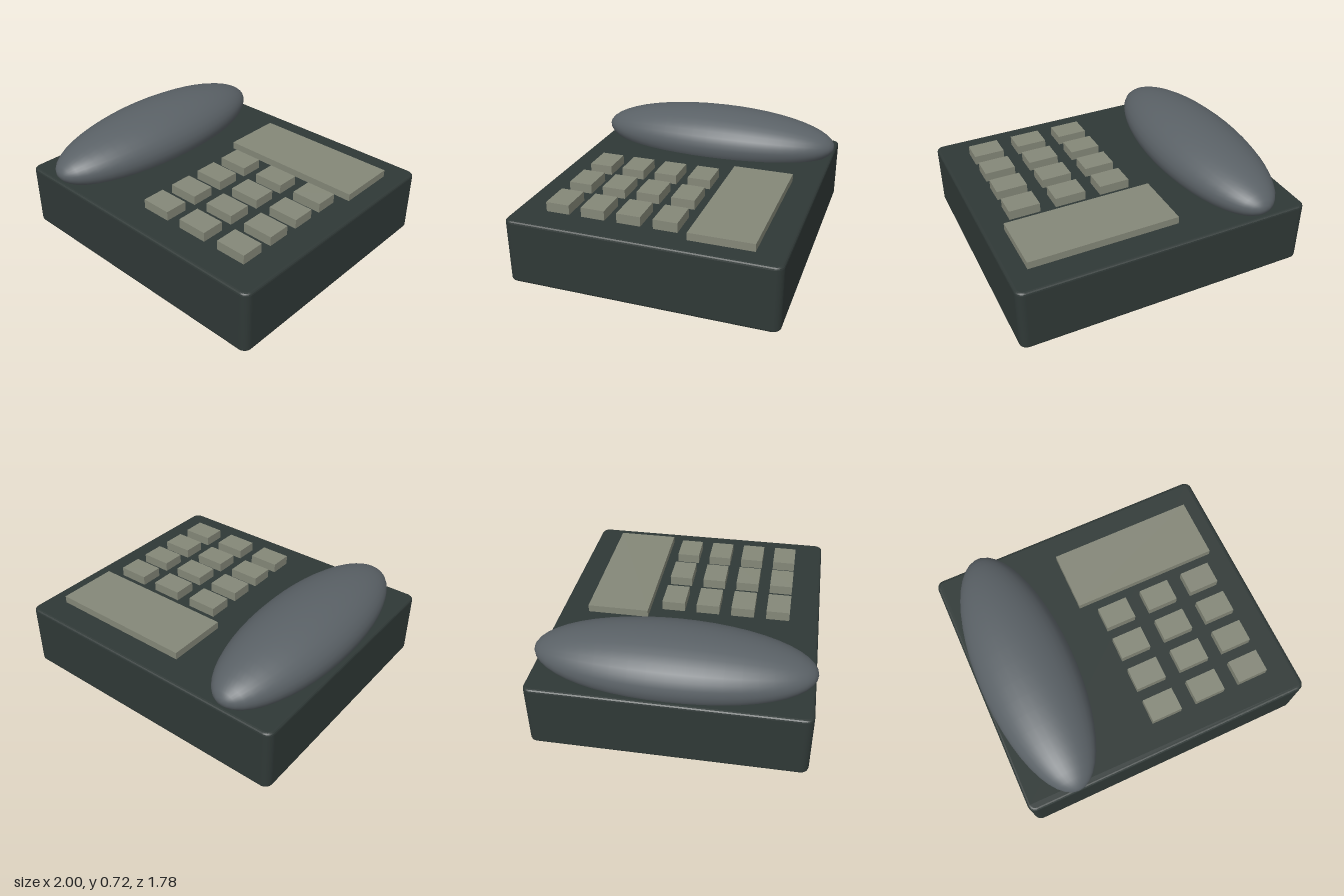
import * as THREE from 'three';

const material = (name, color) => {
  const m = new THREE.MeshStandardMaterial({ color });
  m.name = name;
  return m;
};

// Rounded rectangle centred on the origin
function roundedRect(w, d, r) {
  const s = new THREE.Shape();
  const x = w / 2, y = d / 2;
  s.absarc(x - r, y - r, r, 0, Math.PI / 2);
  s.absarc(-x + r, y - r, r, Math.PI / 2, Math.PI);
  s.absarc(-x + r, -y + r, r, Math.PI, Math.PI * 1.5);
  s.absarc(x - r, -y + r, r, Math.PI * 1.5, Math.PI * 2);
  s.closePath();
  return s;
}

export function createModel() {
  const group = new THREE.Group();
  group.name = 'deskTelephone';
  const dark = material('dark body', 0x2f3836);
  const grey = material('handset grey', 0x5a6166);
  const pale = material('key grey', 0x848778);

  const add = (name, geometry, mat, x, y, z) => {
    const mesh = new THREE.Mesh(geometry, mat);
    mesh.name = name;
    mesh.position.set(x, y, z);
    group.add(mesh);
    return mesh;
  };

  // Base: rounded slab with softened top and bottom edges
  const top = 0.435, bevel = 0.018;
  const baseGeometry = new THREE.ExtrudeGeometry(
    roundedRect(2 - 2 * bevel, 1.76 - 2 * bevel, 0.035),
    { depth: top - 2 * bevel, bevelThickness: bevel, bevelSize: bevel, bevelSegments: 3, curveSegments: 5 }
  );
  baseGeometry.rotateX(-Math.PI / 2);
  add('base', baseGeometry, dark, 0, bevel, 0);

  // Handset: long ellipsoid, sunk slightly into the base
  const handsetGeometry = new THREE.SphereGeometry(1, 32, 24);
  handsetGeometry.rotateX(Math.PI / 2);
  handsetGeometry.scale(0.327, 0.215, 0.888);
  add('handset', handsetGeometry, grey, -0.661, 0.505, 0);

  // Display panel
  add('display', new THREE.BoxGeometry(1.015, 0.1, 0.415), pale, 0.358, 0.435, -0.482);

  // Keypad: four rows of three keys
  const keyGeometry = new THREE.BoxGeometry(0.21, 0.1, 0.157);
  for (let row = 0; row < 4; row++) {
    for (let col = 0; col < 3; col++) {
      add(`key${row * 3 + col + 1}`, keyGeometry, pale, 0.061 + col * 0.318, 0.449, -0.115 + row * 0.239);
    }
  }
  return group;
}
